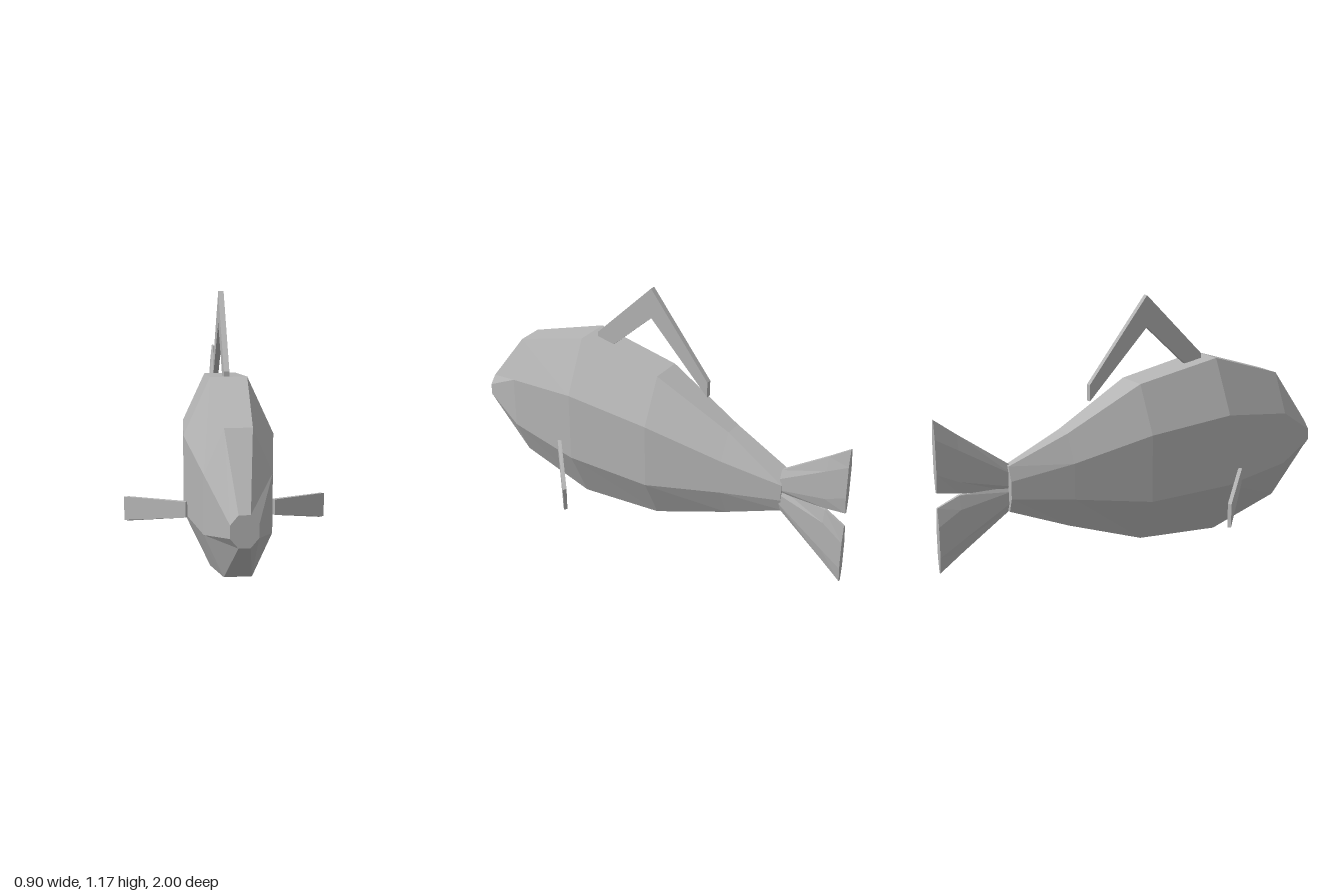
import * as THREE from 'three';
import { ConvexGeometry } from 'three/addons/geometries/ConvexGeometry.js';

const grey = new THREE.MeshStandardMaterial({ color: 0xb4b4b4, flatShading: true });
grey.name = 'grey';

// Skin a row of equal rings, front to back; each ring runs counter-clockwise seen from +z
function loft(rings) {
  const pos = [], n = rings[0].length;
  const tri = (...pts) => pts.forEach((p) => pos.push(...p));
  for (let i = 0; i < rings.length - 1; i++) {
    for (let j = 0; j < n; j++) {
      const k = (j + 1) % n;
      const a = rings[i][j], b = rings[i][k], c = rings[i + 1][k], d = rings[i + 1][j];
      tri(a, d, b);
      tri(d, c, b);
    }
  }
  const front = rings[0], back = rings[rings.length - 1];
  for (let j = 1; j < n - 1; j++) {
    tri(front[0], front[j], front[j + 1]);
    tri(back[0], back[j + 1], back[j]);
  }
  const g = new THREE.BufferGeometry();
  g.setAttribute('position', new THREE.Float32BufferAttribute(pos, 3));
  g.computeVertexNormals();
  return g;
}

// Eight-sided section: centre x, half width, half width of top, bottom, lower side, upper side, top
const octagon = ([z, cx, w, t, y0, y1, y2, y3]) => [
  [cx + w, y1, z], [cx + w, y2, z], [cx + t, y3, z], [cx - t, y3, z],
  [cx - w, y2, z], [cx - w, y1, z], [cx - t, y0, z], [cx + t, y0, z],
];

export function createModel() {
  const model = new THREE.Group();
  const add = (name, geometry) => {
    const mesh = new THREE.Mesh(geometry, grey);
    mesh.name = name;
    model.add(mesh);
  };

  // Body, bending slightly to the left towards the tail
  add('body', loft([
    [1.0, 0, 0.057, 0.024, 0.30, 0.34, 0.395, 0.435],
    [0.77, 0, 0.14, 0.058, 0.095, 0.28, 0.535, 0.725],
    [0.385, 0, 0.195, 0.08, 0.003, 0.255, 0.60, 0.853],
    [-0.035, 0.003, 0.172, 0.072, 0.04, 0.25, 0.567, 0.785],
    [-0.4, 0.006, 0.098, 0.04, 0.17, 0.312, 0.48, 0.605],
    [-0.68, 0.014, 0.036, 0.015, 0.285, 0.35, 0.43, 0.495],
  ].map(octagon)));

  // Tail lobes
  add('upperTailLobe', loft([
    [-0.67, 0.024, 0.022, 0.009, 0.375, 0.40, 0.46, 0.50],
    [-0.9, 0.047, 0.018, 0.007, 0.402, 0.457, 0.60, 0.668],
    [-1.0, 0.057, 0.014, 0.005, 0.42, 0.505, 0.66, 0.745],
  ].map(octagon)));
  add('lowerTailLobe', loft([
    [-0.67, 0.024, 0.022, 0.009, 0.288, 0.325, 0.375, 0.405],
    [-0.9, 0.047, 0.018, 0.007, 0.125, 0.187, 0.33, 0.393],
    [-1.0, 0.057, 0.014, 0.005, 0.05, 0.125, 0.265, 0.35],
  ].map(octagon)));

  // Bent dorsal fin, turned a little off the centre line
  const outline = [[0.345, 0.83], [0.345, 0.868], [0.04, 1.175], [-0.265, 0.80],
    [-0.265, 0.725], [0.04, 1.03], [0.265, 0.82]];
  const dorsal = new THREE.ExtrudeGeometry(
    new THREE.Shape(outline.map(([z, y]) => new THREE.Vector2(z, y))),
    { depth: 0.024, bevelEnabled: false });
  dorsal.rotateY(-Math.PI / 2).translate(0.013, 0, 0);
  const p = dorsal.attributes.position;
  for (let i = 0; i < p.count; i++) p.setX(i, p.getX(i) - 0.015 * p.getZ(i));
  dorsal.computeVertexNormals();
  add('dorsalFin', dorsal);

  // Side fins, swept back and drooping
  for (const [name, s, tipZ] of [['leftFin', 1, 0.23], ['rightFin', -1, 0.2]]) {
    const corners = [
      [0.182, 0.255, 0.452], [0.182, 0.325, 0.452], [0.194, 0.255, 0.465], [0.194, 0.325, 0.465],
      [0.432, 0.16, tipZ - 0.005], [0.432, 0.275, tipZ - 0.005],
      [0.452, 0.165, tipZ], [0.452, 0.275, tipZ],
    ];
    add(name, new ConvexGeometry(corners.map(([x, y, z]) => new THREE.Vector3(s * x, y, z))));
  }
  return model;
}
